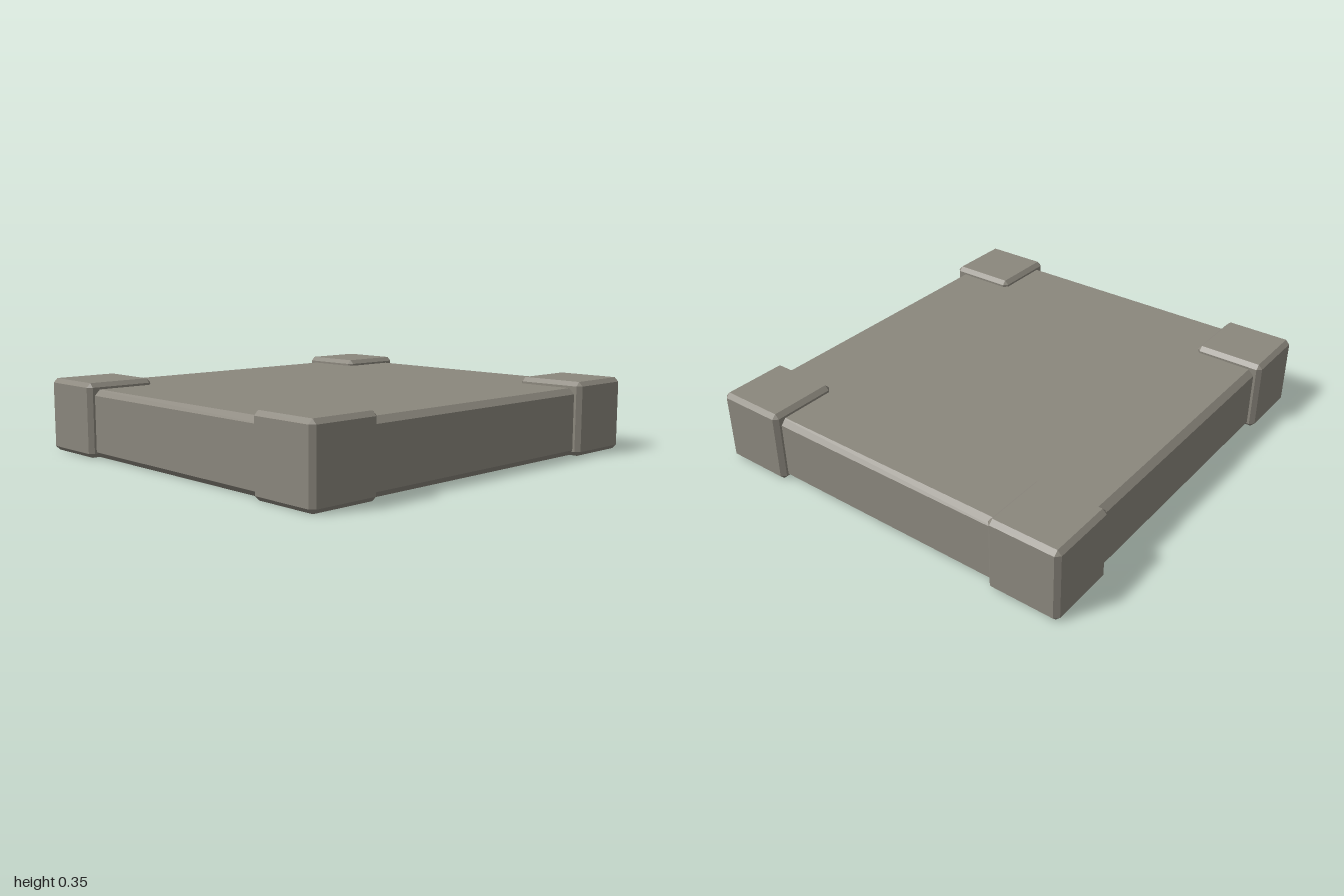
import * as THREE from 'three';
import { ConvexGeometry } from 'three/addons/geometries/ConvexGeometry.js';

// Box with every edge and corner cut flat by c, standing on y = 0
function chamferedBox(w, h, d, c) {
  const points = [];
  for (const sx of [-1, 1]) for (const sy of [-1, 1]) for (const sz of [-1, 1]) {
    const x = w / 2, y = h / 2, z = d / 2;
    points.push(
      new THREE.Vector3(sx * x, sy * (y - c), sz * (z - c)),
      new THREE.Vector3(sx * (x - c), sy * y, sz * (z - c)),
      new THREE.Vector3(sx * (x - c), sy * (y - c), sz * z)
    );
  }
  return new ConvexGeometry(points).translate(0, h / 2, 0);
}

export function createModel() {
  const group = new THREE.Group();
  group.name = 'stonePlatform';
  const stone = new THREE.MeshStandardMaterial({ color: 0x8b877d });
  stone.name = 'greyStone';

  // Main slab
  const slab = new THREE.Mesh(chamferedBox(1.94, 0.316, 1.786, 0.027), stone);
  slab.name = 'slab';
  group.add(slab);

  // Four taller corner blocks
  const blockGeometry = chamferedBox(0.342, 0.346, 0.342, 0.02);
  for (const sx of [-1, 1]) for (const sz of [-1, 1]) {
    const block = new THREE.Mesh(blockGeometry, stone);
    block.name = `${sz > 0 ? 'front' : 'back'}${sx > 0 ? 'Left' : 'Right'}CornerBlock`;
    block.position.set(sx * 0.829, 0, sz * 0.754);
    group.add(block);
  }
  return group;
}
